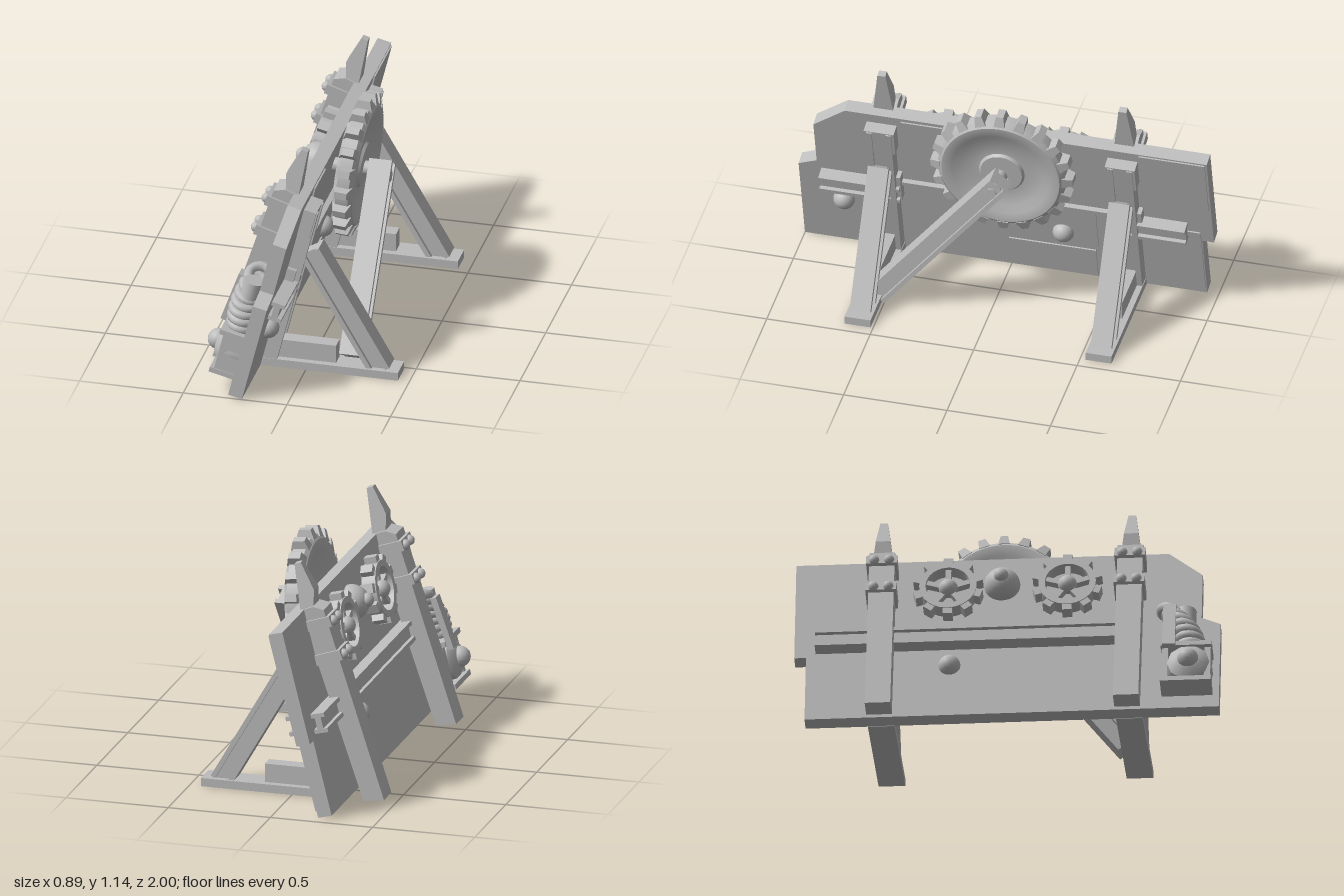
import * as THREE from 'three';
import { toCreasedNormals } from 'three/addons/utils/BufferGeometryUtils.js';

const LEAN = Math.atan(0.25);          // backward lean of the panel
const FRAMES = [0.575, -0.59];         // z of the two support frames

export function createModel() {
  const model = new THREE.Group();
  const grey = new THREE.MeshStandardMaterial({ color: 0xbcbcbc });

  const add = (parent, name, geometry, x = 0, y = 0, z = 0) => {
    const mesh = new THREE.Mesh(geometry, grey);
    mesh.name = name;
    mesh.position.set(x, y, z);
    parent.add(mesh);
    return mesh;
  };
  const group = (parent, name, x = 0, y = 0, z = 0) => {
    const g = new THREE.Group();
    g.name = name;
    g.position.set(x, y, z);
    parent.add(g);
    return g;
  };
  const box = (parent, name, w, h, d, x, y, z) =>
    add(parent, name, new THREE.BoxGeometry(w, h, d), x, y, z);
  const outline = (pts) => new THREE.Shape(pts.map(([a, b]) => new THREE.Vector2(a, b)));
  // Slab drawn in x/y, centred on z
  const slab = (pts, width) => new THREE.ExtrudeGeometry(outline(pts),
    { depth: width, bevelEnabled: false }).translate(0, 0, -width / 2);
  // Turned part with its axis along x
  const turned = (pts, segments = 40) => toCreasedNormals(new THREE.LatheGeometry(
    pts.map(([r, h]) => new THREE.Vector2(r, h)), segments).rotateZ(-Math.PI / 2), 0.7);
  // Beam with grooves in the two faces that look along the depth axis
  const beam = (parent, name, from, to, depthAxis, w, d) => {
    const a = new THREE.Vector3(...from), b = new THREE.Vector3(...to);
    const dir = b.clone().sub(a), length = dir.length();
    dir.normalize();
    const mid = a.add(b).multiplyScalar(0.5);
    const g = group(parent, name, mid.x, mid.y, mid.z);
    const side = dir.clone().cross(depthAxis);
    g.quaternion.setFromRotationMatrix(new THREE.Matrix4().makeBasis(side, dir, depthAxis));
    box(g, 'beamWeb', w * 0.8, length, d * 0.66, 0, 0, 0);
    for (const s of [-1, 1]) box(g, 'beamFlange', w * 0.22, length, d, s * w * 0.39, 0, 0);
    return g;
  };
  const X = new THREE.Vector3(1, 0, 0), Z = new THREE.Vector3(0, 0, 1);

  // Leaning assembly: local x points out of the panel, local y up the slope
  const leaning = group(model, 'leaningAssembly', -0.22, 0, 0);
  leaning.rotation.z = -LEAN;
  const up = 1 / Math.cos(LEAN);

  const panelShape = outline([[1, 0.01], [1, 0.49], [0.91, 0.53], [0.91, 0.78], [0.75, 0.91],
    [-1, 0.91], [-1, 0.37], [-0.945, 0.37], [-0.945, 0.01]].map(([z, y]) => [z, y * up]));
  const panelGeometry = new THREE.ExtrudeGeometry(panelShape, { depth: 0.068, bevelEnabled: false });
  add(leaning, 'panel', panelGeometry.rotateY(-Math.PI / 2));

  // Raised sheets on the panel: centre y, centre z, height, length
  for (const [y, z, h, l] of [[0.11, -0.21, 0.18, 0.42], [0.77, -0.83, 0.32, 0.32],
    [0.36, -0.22, 0.25, 0.43], [0.24, -0.8, 0.4, 0.28], [0.77, 0.38, 0.3, 0.2]]) {
    box(leaning, 'panelSheet', 0.009, h, l, 0.003, y, z);
  }

  // Round bolts that show on both faces
  for (const z of [0.79, -0.27]) {
    for (const x of [0.005, -0.07]) {
      add(leaning, 'panelBolt', new THREE.SphereGeometry(0.052, 20, 12), x, 0.305, z);
    }
  }

  // Channel rails: short ends on the front face, one long rail on the back
  const rail = (name, x, z0, z1) => {
    const g = group(leaning, name, x, 0.45, (z0 + z1) / 2), l = Math.abs(z1 - z0);
    box(g, 'railWeb', 0.03, 0.09, l, 0, 0, 0);
    for (const s of [-1, 1]) box(g, 'railFlange', 0.07, 0.02, l, 0, s * 0.038, 0);
  };
  rail('frontRailEnd', 0.03, 0.5, 0.89);
  rail('frontRailEnd', 0.03, -0.53, -0.88);
  rail('backRail', -0.1, -0.9, 0.62);
  box(leaning, 'frontRailStrip', 0.03, 0.02, 1.1, 0.01, 0.498, 0);

  // Small spoked gears and hub on the back
  for (const z of [-0.28, 0.28]) {
    const gear = group(leaning, 'smallGear', -0.105, 0.735, z);
    add(gear, 'gearRing', turned([[0.105, -0.035], [0.135, -0.035], [0.135, 0.035],
      [0.105, 0.035], [0.105, -0.035]], 30));
    add(gear, 'gearHub', new THREE.SphereGeometry(0.045, 18, 12), -0.01);
    box(gear, 'gearAxle', 0.08, 0.04, 0.04, 0.03, 0, 0);
    for (let i = 0; i < 10; i++) {
      const arm = group(gear, 'gearArm');
      arm.rotation.x = i * Math.PI / 5;
      box(arm, 'gearTooth', 0.06, 0.045, 0.045, 0, 0.142, 0);
      if (i % 2 === 0) box(arm, 'gearSpoke', 0.035, 0.1, 0.026, 0, 0.07, 0);
    }
  }
  add(leaning, 'hubDome', new THREE.SphereGeometry(0.085, 24, 16), -0.075, 0.775, -0.03);
  add(leaning, 'hubKnob', new THREE.SphereGeometry(0.035, 16, 10), -0.15, 0.775, -0.03);

  // Motor on the lower corner: ribbed hose, frame and cup
  const motor = group(leaning, 'cornerMotor', -0.07, 0, 0.83);
  for (let i = 0; i < 8; i++) {
    const a = i / 7;
    const rib = add(motor, 'hoseRib', new THREE.TorusGeometry(0.055, 0.024, 8, 20),
      -0.03 - 0.02 * Math.sin(a * Math.PI), 0.29 + a * 0.25, 0.04 - 0.1 * a * a);
    rib.rotation.x = Math.PI / 2 + 0.5 * a;
  }
  add(motor, 'hoseCore', new THREE.CylinderGeometry(0.05, 0.05, 0.28, 16), -0.04, 0.41, 0.01);
  const cup = turned([[0, -0.06], [0.06, -0.06], [0.1, -0.03], [0.11, 0.02], [0.11, 0.1], [0, 0.1]], 10);
  add(motor, 'motorCup', cup, -0.07, 0.2, 0.03);
  add(motor, 'motorNose', new THREE.SphereGeometry(0.05, 16, 10), -0.13, 0.2, 0.03);
  for (const z of [-0.08, 0.12]) box(motor, 'motorBracket', 0.1, 0.2, 0.03, -0.05, 0.2, z);
  for (const y of [0.09, 0.3]) box(motor, 'motorBracket', 0.12, 0.025, 0.24, -0.06, y, 0.02);
  const arm = box(motor, 'motorArm', 0.03, 0.26, 0.06, -0.125, 0.4, -0.06);
  arm.rotation.z = -0.1;

  // Two support frames
  for (const z of FRAMES) {
    beam(leaning, 'frontPost', [0.032, 0.03, z], [0.032, 0.88, z], X, 0.12, 0.07);
    box(leaning, 'postCap', 0.06, 0.14, 0.145, 0.03, 0.815, z);
    box(leaning, 'postCollar', 0.045, 0.16, 0.16, 0.022, 0.48, z);

    const frame = group(model, 'supportFrame', 0, 0, z);
    box(frame, 'footBeam', 0.665, 0.04, 0.125, 0.1125, 0.028, 0);
    box(frame, 'footRail', 0.3, 0.09, 0.07, -0.01, 0.095, 0);
    beam(frame, 'diagonalStrut', [0.015, 0.625, 0], [0.355, 0.035, 0], Z, 0.105, 0.1);

    // Back post with a tapering spike
    add(frame, 'backPost', slab([[-0.45, 0.025], [-0.35, 0.01], [-0.04, 0.92],
      [-0.1, 0.945], [-0.155, 0.935]], 0.12));
    const spike = slab([[-0.1, 0.9], [-0.04, 0.9], [0, 1.135], [-0.03, 1.145], [-0.1, 1.02]], 0.1);
    const p = spike.attributes.position;
    for (let i = 0; i < p.count; i++) p.setZ(i, p.getZ(i) * (1 - 2.6 * (p.getY(i) - 0.9)));
    spike.computeVertexNormals();
    add(frame, 'spike', spike);

    // Straps and bolts on the back post
    for (const y of [0.7, 0.86]) {
      const x = -0.455 + 0.325 * y;
      const strap = box(frame, 'postStrap', 0.16, 0.05, 0.145, x + 0.06, y, 0);
      strap.rotation.z = -0.32;
      for (const s of [-1, 1]) {
        add(frame, 'strapBolt', new THREE.SphereGeometry(0.025, 12, 8), x - 0.018, y + 0.02, s * 0.035);
      }
    }
  }

  // Large toothed wheel
  const wheel = group(model, 'largeWheel', 0.085, 0.77, -0.035);
  wheel.rotation.z = -0.1;
  add(wheel, 'wheelDisc', turned([[0, -0.025], [0.2, -0.025], [0.235, -0.045], [0.285, -0.048],
    [0.307, -0.03], [0.307, 0.03], [0.285, 0.048], [0.235, 0.045], [0.2, 0.022],
    [0.11, 0.022], [0.1, 0.035], [0, 0.035]], 56));
  const toothGeometry = toCreasedNormals(new THREE.CylinderGeometry(0.026, 0.04, 0.05, 4, 1)
    .rotateY(Math.PI / 4).scale(1.6, 1, 0.95), 0.5);
  for (let i = 0; i < 20; i++) {
    const spoke = group(wheel, 'wheelTooth');
    spoke.rotation.x = i * Math.PI / 10;
    add(spoke, 'tooth', toothGeometry, 0, 0.319, 0);
  }

  // Axle and the brace that carries it
  const axle = add(model, 'axle', new THREE.CylinderGeometry(0.035, 0.035, 0.36, 20), 0.06, 0.755, -0.03);
  axle.rotation.z = -Math.PI / 2;
  beam(model, 'wheelBrace', [0.2, 0.05, 0.535], [0.2, 0.785, -0.055], X, 0.1, 0.11);
  add(model, 'axleNut', new THREE.CylinderGeometry(0.03, 0.03, 0.015, 6).rotateZ(Math.PI / 2),
    0.243, 0.735, -0.015);

  return model;
}
